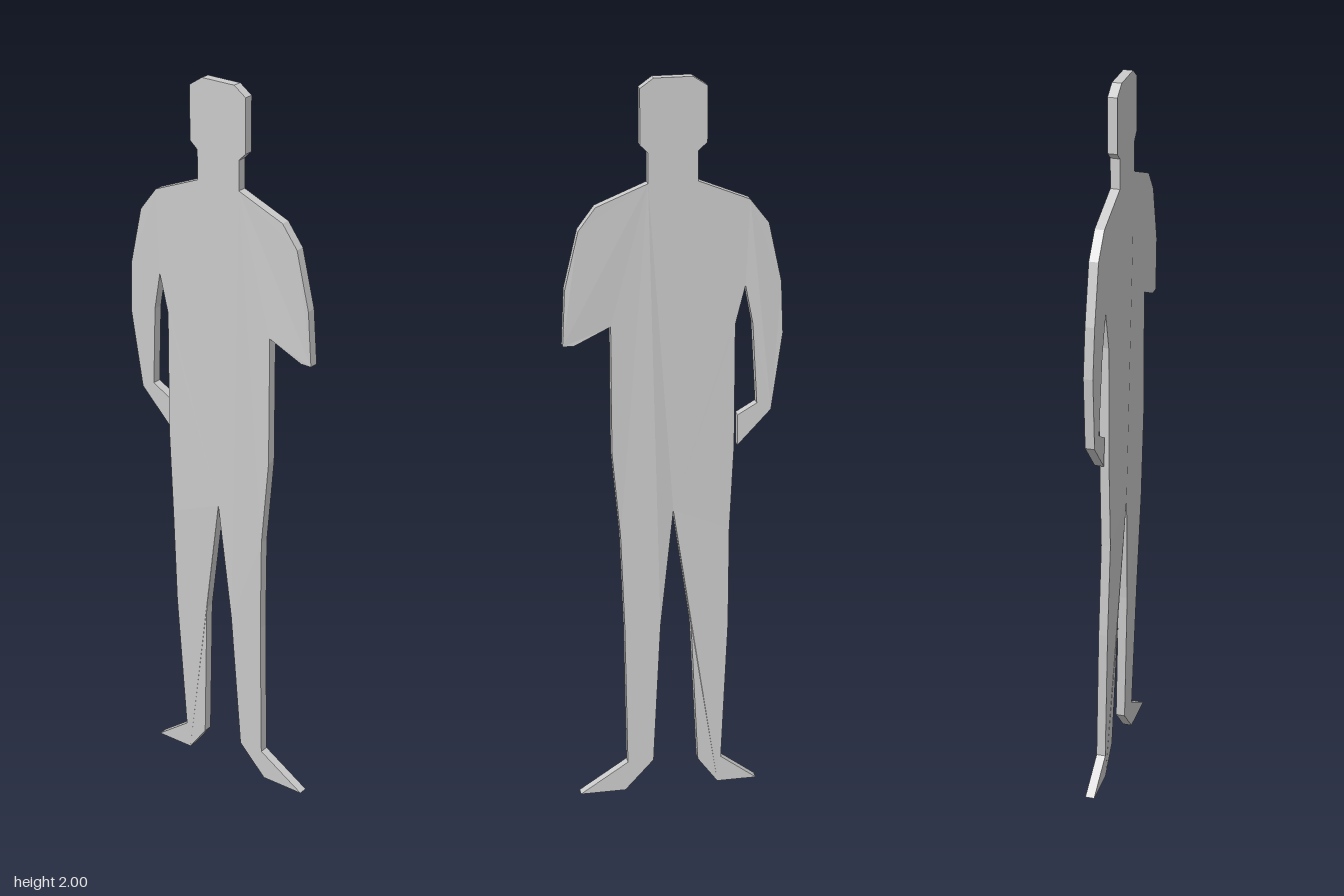
import * as THREE from 'three';

const THICK = 0.025;

// Silhouette seen from the model's left side: [u, y] with u = -z, clockwise from the crown
const outline = [
  // head, neck and shoulder
  [-0.05, 2], [0.05, 2], [0.088, 1.975], [0.088, 1.83], [0.065, 1.81], [0.065, 1.73],
  [0.2, 1.675], [0.25, 1.61],
  // full arm: outer edge, hand, inner edge up to the armpit
  [0.285, 1.45], [0.29, 1.31], [0.26, 1.1], [0.17, 1.005], [0.17, 1.09],
  [0.222, 1.12], [0.21, 1.34], [0.19, 1.445],
  // side of the torso
  [0.164, 1.34], [0.164, 1.0],
  // leg and foot on the arm side
  [0.153, 0.76], [0.15, 0.48], [0.13, 0.075], [0.23, 0], [0.12, 0], [0.065, 0.075], [0.047, 0.49],
  // crotch
  [0, 0.825],
  // other leg and foot
  [-0.037, 0.49], [-0.06, 0.085], [-0.14, 0], [-0.265, 0], [-0.132, 0.085], [-0.135, 0.49], [-0.143, 0.76],
  // torso side and bent arm
  [-0.164, 1.0], [-0.164, 1.355], [-0.26, 1.31], [-0.29, 1.31], [-0.282, 1.46],
  [-0.245, 1.615], [-0.2, 1.675],
  // neck and head
  [-0.065, 1.73], [-0.065, 1.81], [-0.085, 1.83], [-0.085, 1.975],
];

// Sideways lean of the legs and of the hanging arms
function lean(u, y) {
  if (y < 0.8) return Math.min(0.025, Math.max(0, (0.76 - y) * 0.033));
  if (u > 0.167 && y < 1.45) return (1.45 - y) * 0.027;
  if (u < -0.25 && y < 1.45) return (1.45 - y) * 0.027;
  return 0;
}

export function createModel() {
  const group = new THREE.Group();
  group.name = 'standingFigure';

  const shape = new THREE.Shape(outline.map(([u, y]) => new THREE.Vector2(u, y)));
  const geometry = new THREE.ExtrudeGeometry(shape, { depth: THICK, bevelEnabled: false });

  // Bend the flat plate out of its plane
  const pos = geometry.attributes.position;
  for (let i = 0; i < pos.count; i++) {
    pos.setZ(i, pos.getZ(i) - THICK + lean(pos.getX(i), pos.getY(i)));
  }
  geometry.rotateY(Math.PI / 2);
  geometry.computeVertexNormals();

  const figure = new THREE.Mesh(
    geometry,
    new THREE.MeshStandardMaterial({ color: 0xcccccc, flatShading: true })
  );
  figure.name = 'bodySilhouette';
  group.add(figure);
  return group;
}
